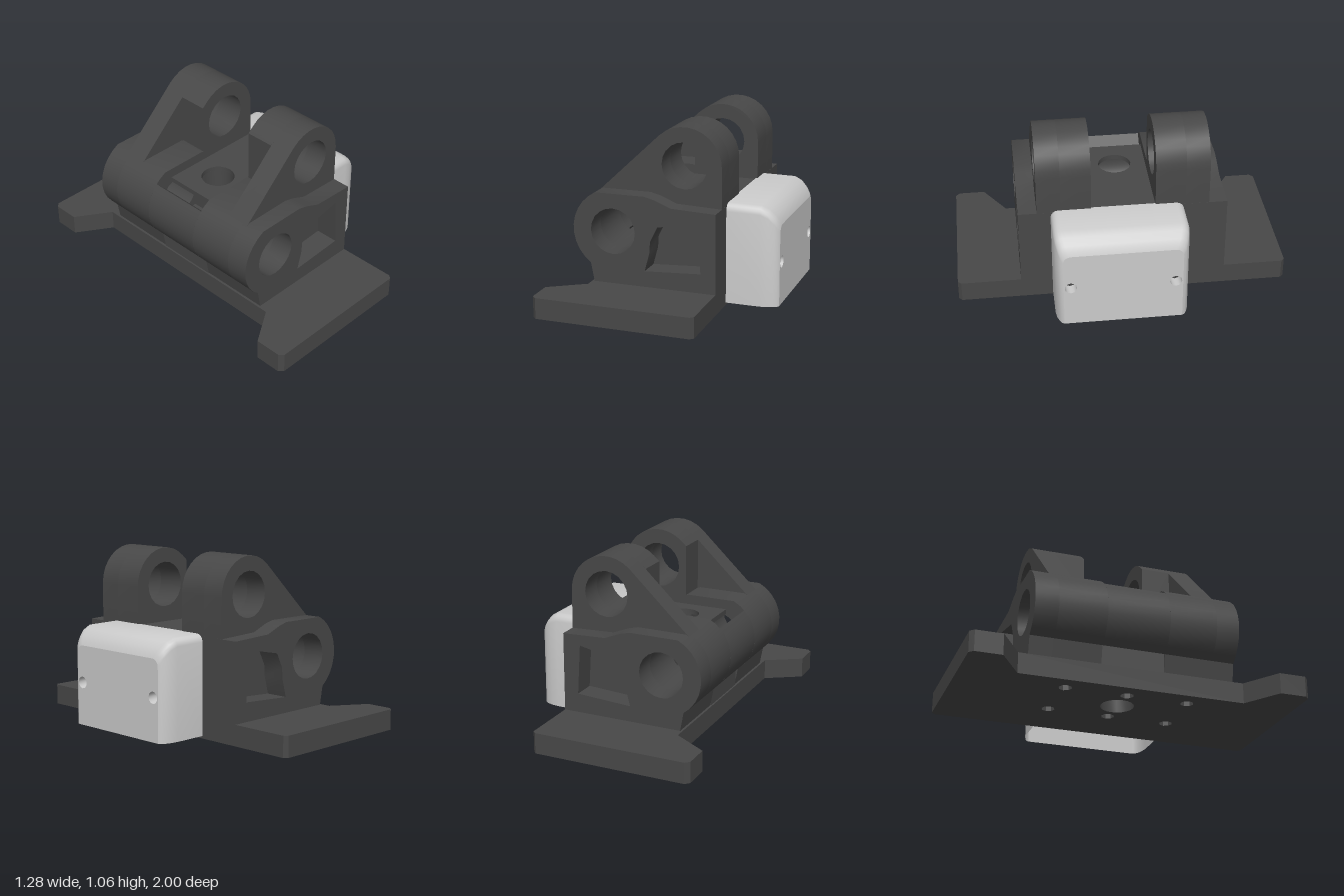
import * as THREE from 'three';
import { toCreasedNormals } from 'three/addons/utils/BufferGeometryUtils.js';

const dark = new THREE.MeshStandardMaterial({ color: 0x484848 });
const light = new THREE.MeshStandardMaterial({ color: 0xcccccc, side: THREE.DoubleSide });
const darkThin = new THREE.MeshStandardMaterial({ color: 0x484848, side: THREE.DoubleSide });

// Points on a circular arc, angles in degrees
function arc(cx, cy, r, a0, a1, n) {
  return Array.from({ length: n + 1 }, (_, i) => {
    const a = THREE.MathUtils.degToRad(a0 + (a1 - a0) * i / n);
    return [cx + r * Math.cos(a), cy + r * Math.sin(a)];
  });
}
const circle = (cx, cy, r, n = 20) => arc(cx, cy, r, 0, 360 - 360 / n, n - 1);
const vecs = pts => pts.map(p => new THREE.Vector2(p[0], p[1]));

function makeShape(outline, holes = []) {
  const s = new THREE.Shape(vecs(outline));
  holes.forEach(h => s.holes.push(new THREE.Path(vecs(h))));
  return s;
}
function add(group, name, geometry, material = dark) {
  const m = new THREE.Mesh(toCreasedNormals(geometry, 0.6), material);
  m.name = name;
  group.add(m);
  return m;
}
// Side profile (x, y) extruded from z0 to z1
function slabZ(group, name, outline, holes, z0, z1) {
  const g = new THREE.ExtrudeGeometry(makeShape(outline, holes), { depth: z1 - z0, bevelEnabled: false });
  g.translate(0, 0, z0);
  return add(group, name, g);
}
// Plan outline (x, -z) extruded from y0 to y1
function slabY(group, name, outline, holes, y0, y1) {
  const g = new THREE.ExtrudeGeometry(makeShape(outline, holes), { depth: y1 - y0, bevelEnabled: false });
  g.rotateX(-Math.PI / 2);
  g.translate(0, y0, 0);
  return add(group, name, g);
}

function buildBase(group) {
  const half = [[-0.43, 0.68], [-0.64, 0.815], [-0.64, 0.975], [-0.615, 1], [0.31, 1], [0.33, 0.98]];
  const outline = [...half, ...half.map(([x, z]) => [x, -z]).reverse()];
  const holes = [circle(-0.145, 0, 0.1)];
  for (const x of [-0.315, 0.025])
    for (const z of [-0.37, 0, 0.37]) holes.push(circle(x, z, 0.04, 8));
  slabY(group, 'basePlate', outline, holes, 0, 0.125);
}

function buildSides(group) {
  const body = [
    [0.33, 0.12], [0.33, 0.6], [0.06, 0.61], [-0.04, 0.65], [-0.1, 0.665],
    ...arc(-0.295, 0.44, 0.247, 115, 235, 10), [-0.415, 0.12],
  ];
  const lowerBore = circle(-0.295, 0.44, 0.137);
  const pocket = [[-0.1, 0.22], [0.24, 0.24], [0.222, 0.54], [-0.02, 0.49], [-0.065, 0.4], [-0.07, 0.33]];
  const lugTop = arc(0.104, 0.835, 0.225, 0, 132, 11);
  const lug = [[0.329, 0.59], ...lugTop, [-0.42, 0.65], [-0.38, 0.59]];
  const lugNotched = [[0.329, 0.59], ...lugTop, [-0.08, 0.972], [-0.08, 0.59]];
  const upperBore = circle(0.104, 0.835, 0.137);

  for (const side of [1, -1]) {
    const half = new THREE.Group();
    half.name = side > 0 ? 'frontHalf' : 'backHalf';
    group.add(half);
    const slab = (name, outline, holes, a, b) =>
      slabZ(half, name, outline, holes, side > 0 ? a : -b, side > 0 ? b : -a);
    slab('innerBody', body, [lowerBore], 0.19, 0.48);
    slab('pocketedBody', body, [lowerBore, pocket], 0.48, 0.62);
    slab('outerLug', lug, [upperBore], 0.37, 0.51);
    slab('notchedLug', lugNotched, [upperBore], 0.19, 0.37);
  }
}

// Saddle between the lugs, pierced by the vertical hole and open to the lower bore
function buildSaddle(group) {
  const rect = (x0, x1) => [[x0, -0.19], [x1, -0.19], [x1, 0.19], [x0, 0.19]];
  const hole = circle(-0.145, 0, 0.1);
  slabY(group, 'saddleFoot', rect(-0.42, 0.33), [hole], 0.12, 0.305);
  const core = [[-0.16, -0.19], [0.33, -0.19], [0.33, 0.19], [-0.16, 0.19], ...arc(-0.145, 0, 0.1, 98, -98, 12)];
  slabY(group, 'saddleCore', core, [], 0.305, 0.575);
  slabY(group, 'saddleTop', rect(-0.35, 0.33), [hole], 0.575, 0.605);
  const rim = [...arc(-0.295, 0.44, 0.247, 135, 235, 9), ...arc(-0.295, 0.44, 0.137, 235, 135, 9)];
  slabZ(group, 'boreRim', rim, [], -0.19, 0.19);
}

// Rounded cover on the side, open underneath
function buildCover(group) {
  const ring = (inset, top) => {
    const z0 = -0.36 + inset, z1 = 0.43 - inset, r = 0.045;
    return [
      [z1, 0.015], ...arc(z1 - r, top - r, r, 0, 90, 4),
      ...arc(z0 + r, top - r, r, 90, 180, 4), [z0, 0.015],
    ];
  };
  const stations = [[0.32, 0, 0.612], [0.53, 0, 0.61], [0.575, 0.006, 0.59], [0.61, 0.018, 0.555], [0.63, 0.03, 0.525], [0.64, 0.045, 0.5]];
  const rings = stations.map(([, inset, top]) => ring(inset, top));
  const n = rings[0].length, pos = [], idx = [];
  rings.forEach((pts, k) => pts.forEach(([z, y]) => pos.push(stations[k][0], y, z)));
  for (let k = 0; k < rings.length - 1; k++)
    for (let i = 0; i < n - 1; i++) {
      const a = k * n + i, b = a + n;
      idx.push(a, b, a + 1, b, b + 1, a + 1);
    }
  const g = new THREE.BufferGeometry();
  g.setAttribute('position', new THREE.Float32BufferAttribute(pos, 3));
  g.setIndex(idx);
  g.computeVertexNormals();
  add(group, 'coverShell', g, light);

  // End face with two screw holes; shape x becomes z after the turn
  const screws = [0.343, -0.273];
  const face = new THREE.ShapeGeometry(makeShape(
    rings[rings.length - 1].map(([z, y]) => [-z, y]),
    screws.map(z => circle(-z, 0.275, 0.036, 12))));
  face.rotateY(Math.PI / 2);
  face.translate(0.64, 0, 0);
  add(group, 'coverFace', face, light);

  for (const z of screws) {
    const tube = new THREE.CylinderGeometry(0.036, 0.036, 0.08, 12, 1, true);
    tube.rotateZ(Math.PI / 2);
    add(group, 'screwHole', tube, light).position.set(0.6, 0.275, z);
    const head = new THREE.CircleGeometry(0.036, 12);
    head.rotateY(Math.PI / 2);
    add(group, 'screwHead', head, darkThin).position.set(0.57, 0.275, z);
  }
}

export function createModel() {
  const model = new THREE.Group();
  model.name = 'hingeMount';
  for (const [name, build] of [['base', buildBase], ['sides', buildSides], ['saddle', buildSaddle], ['cover', buildCover]]) {
    const part = new THREE.Group();
    part.name = name;
    build(part);
    model.add(part);
  }
  return model;
}
